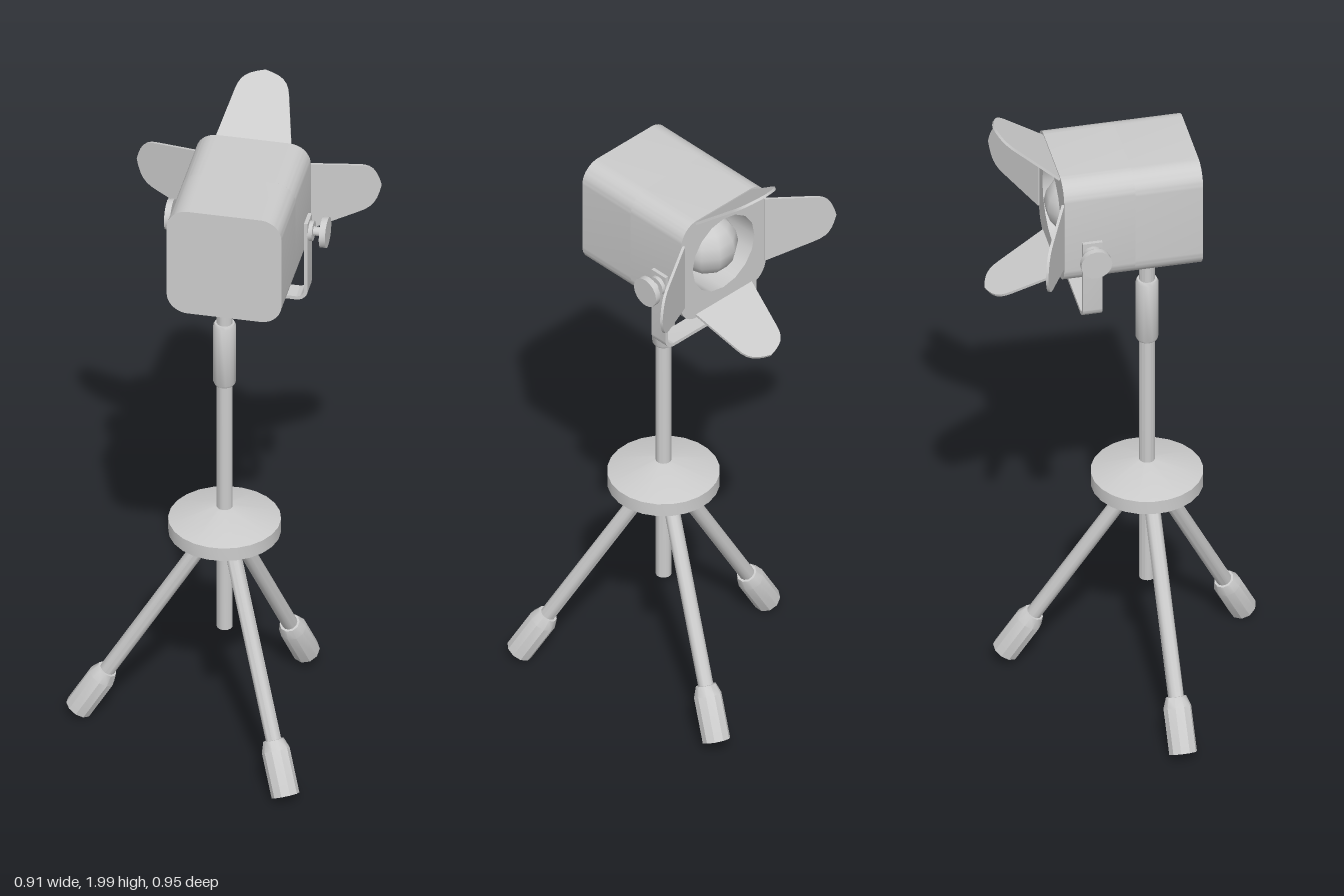
import * as THREE from 'three';
import { toCreasedNormals } from 'three/addons/utils/BufferGeometryUtils.js';

const material = new THREE.MeshStandardMaterial({ color: 0xcccccc, side: THREE.DoubleSide });
const V = (x, y, z) => new THREE.Vector3(x, y, z);

function add(parent, name, geometry, x = 0, y = 0, z = 0) {
  const mesh = new THREE.Mesh(geometry, material);
  mesh.name = name;
  mesh.position.set(x, y, z);
  parent.add(mesh);
  return mesh;
}

// Turned part with crisp edges between profile segments
function turned(points, sides) {
  const profile = points.map(([r, y]) => new THREE.Vector2(r, y));
  return toCreasedNormals(new THREE.LatheGeometry(profile, sides), 0.6);
}

function extruded(shape, depth, curveSegments = 6) {
  return toCreasedNormals(
    new THREE.ExtrudeGeometry(shape, { depth, bevelEnabled: false, curveSegments }), 0.6);
}

function roundedRect(w, h, r) {
  const s = new THREE.Shape();
  const x = w / 2, y = h / 2;
  s.absarc(x - r, y - r, r, 0, Math.PI / 2);
  s.absarc(-x + r, y - r, r, Math.PI / 2, Math.PI);
  s.absarc(-x + r, -y + r, r, Math.PI, Math.PI * 1.5);
  s.absarc(x - r, -y + r, r, Math.PI * 1.5, Math.PI * 2);
  s.closePath();
  return s;
}

// Tapered flap with a rounded tip, growing along +y
function flapShape() {
  const s = new THREE.Shape();
  s.moveTo(-0.112, 0);
  s.lineTo(0.112, 0);
  s.lineTo(0.08, 0.15);
  s.bezierCurveTo(0.072, 0.195, 0.05, 0.208, 0, 0.22);
  s.bezierCurveTo(-0.05, 0.208, -0.072, 0.195, -0.08, 0.15);
  s.closePath();
  return s;
}

// U-shaped strap outline, open at the top
function yokeShape(half, bottom, top, r, t) {
  const s = new THREE.Shape();
  s.moveTo(-half, top);
  s.lineTo(-half, bottom + r);
  s.absarc(-half + r, bottom + r, r, Math.PI, Math.PI * 1.5, false);
  s.absarc(half - r, bottom + r, r, Math.PI * 1.5, Math.PI * 2, false);
  s.lineTo(half, top);
  s.lineTo(half - t, top);
  s.absarc(half - r, bottom + r, r - t, 0, -Math.PI / 2, true);
  s.absarc(-half + r, bottom + r, r - t, -Math.PI / 2, -Math.PI, true);
  s.lineTo(-half + t, top);
  s.closePath();
  return s;
}

function buildStand() {
  const stand = new THREE.Group();
  stand.name = 'stand';
  const px = -0.085, pz = 0.01;

  // Centre column, sleeve and hub
  add(stand, 'column', turned([[0, 0.36], [0.023, 0.36], [0.023, 1.53], [0, 1.53]], 16), px, 0, pz);
  add(stand, 'sleeve', turned(
    [[0.022, 1.2], [0.029, 1.2], [0.033, 1.208], [0.033, 1.402], [0.029, 1.41], [0.022, 1.41]], 16), px, 0, pz);
  add(stand, 'hub', turned(
    [[0, 0.65], [0.05, 0.65], [0.163, 0.692], [0.163, 0.735], [0.03, 0.775], [0, 0.775]], 24), px, 0, pz);

  // Three splayed legs with thicker feet
  for (const end of [V(-0.425, 0.028, -0.25), V(-0.103, 0.027, 0.43), V(0.28, 0.048, -0.187)]) {
    const out = V(end.x - px, 0, end.z - pz).normalize();
    const start = V(px, 0.68, pz).addScaledVector(out, 0.04);
    const dir = end.clone().sub(start);
    const len = dir.length();
    const leg = new THREE.Group();
    leg.name = 'leg';
    leg.position.copy(start);
    leg.quaternion.setFromUnitVectors(V(0, 1, 0), dir.normalize());
    add(leg, 'legTube', turned([[0, 0], [0.023, 0], [0.023, len - 0.1], [0, len - 0.1]], 12));
    add(leg, 'foot', turned([[0.022, len - 0.165], [0.03, len - 0.165], [0.041, len - 0.135],
      [0.041, len], [0, len]], 10));
    stand.add(leg);
  }
  return stand;
}

function buildLamp() {
  const lamp = new THREE.Group();
  lamp.name = 'lampHead';
  const w = 0.338, h = 0.351, front = 0.205, pivotY = -0.062, pivotZ = 0.124;

  // Housing: closed rear and a front half with a round opening
  add(lamp, 'housingRear', extruded(roundedRect(w, h, 0.062), 0.2), 0, 0, -front);
  const face = roundedRect(w, h, 0.062);
  const hole = new THREE.Path();
  hole.absarc(0, 0, 0.124, 0, Math.PI * 2, true);
  face.holes.push(hole);
  add(lamp, 'housingFront', extruded(face, 0.21, 8), 0, 0, -0.005);
  add(lamp, 'bulb', new THREE.SphereGeometry(0.092, 10, 8), 0, 0, 0.135);

  // Four hinged flaps: [turn around the face, tilt forward, hinge distance]
  for (const [turn, tilt, dist] of [[0, 0.9, h / 2], [-Math.PI / 2, 0.43, w / 2],
    [Math.PI / 2, 0.5, w / 2], [Math.PI, 1.11, h / 2]]) {
    const holder = new THREE.Group();
    holder.name = 'flapHolder';
    holder.rotation.z = turn;
    const flap = add(holder, 'flap', extruded(flapShape(), 0.008), 0, dist - 0.006, front - 0.002);
    flap.rotation.x = tilt;
    lamp.add(holder);
  }

  // Strap yoke under the housing
  add(lamp, 'yoke', extruded(yokeShape(0.183, -0.287, -0.022, 0.035, 0.011), 0.058),
    0, 0, pivotZ - 0.029);

  // Clamping knobs on both sides
  for (const side of [-1, 1]) {
    const knob = new THREE.Group();
    knob.name = 'knob';
    knob.position.set(side * 0.165, pivotY, pivotZ);
    knob.rotation.z = -side * Math.PI / 2;
    add(knob, 'knobWasher', turned([[0, 0.015], [0.03, 0.015], [0.03, 0.03], [0, 0.03]], 12));
    add(knob, 'knobShaft', new THREE.CylinderGeometry(0.014, 0.014, 0.06, 10), 0, 0.035, 0);
    add(knob, 'knobDisc', turned([[0, 0.054], [0.046, 0.054], [0.046, 0.072], [0, 0.072]], 16));
    lamp.add(knob);
  }

  lamp.position.set(-0.02, 1.6925, -0.028);
  lamp.rotation.y = 2.46;
  return lamp;
}

export function createModel() {
  const model = new THREE.Group();
  model.name = 'studioLamp';
  model.add(buildStand(), buildLamp());
  return model;
}
